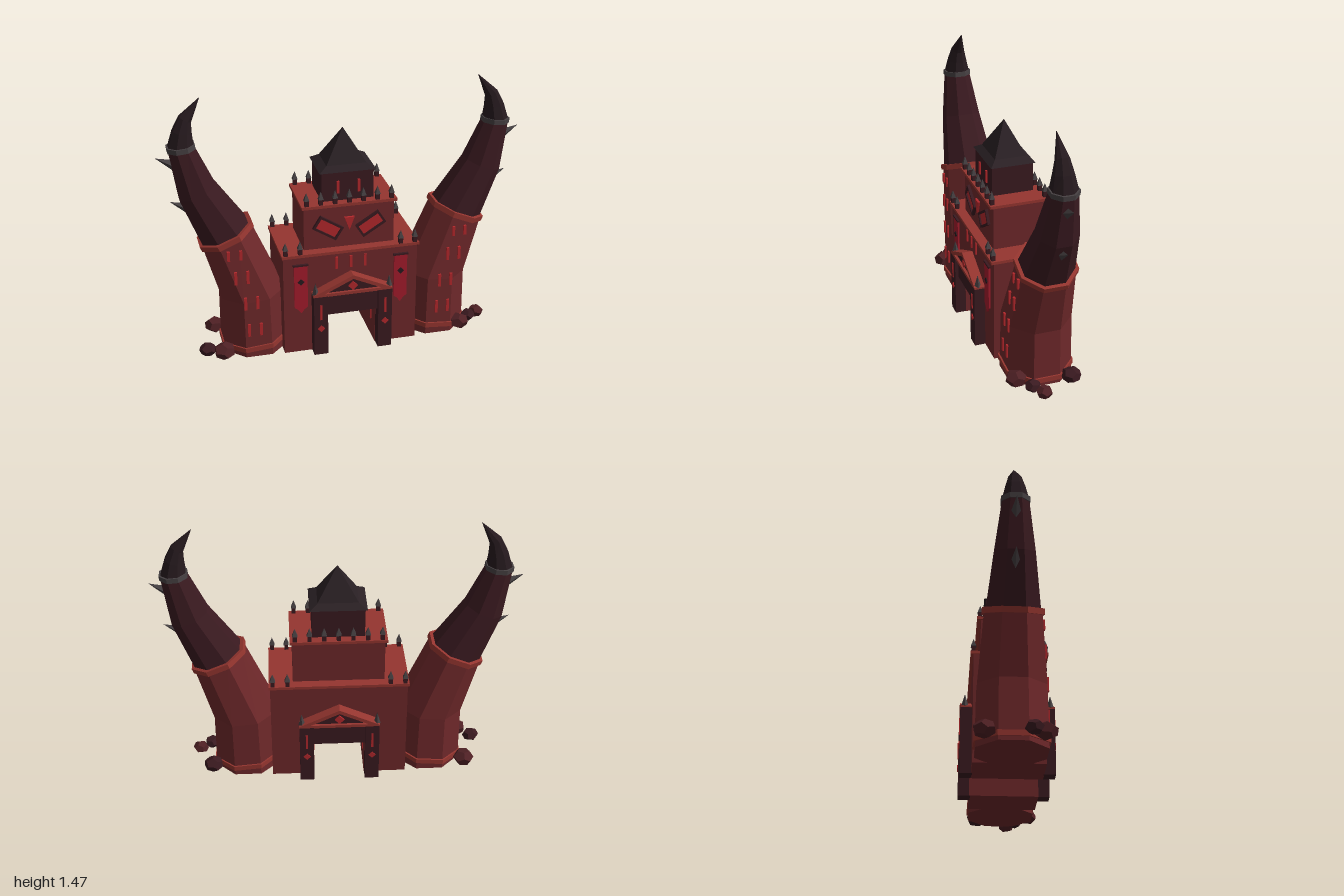
import * as THREE from 'three';

const mat = (color, side = THREE.FrontSide) =>
  new THREE.MeshStandardMaterial({ color, flatShading: true, side });
const M = {
  wall: mat(0x6e282a), trim: mat(0x95352f), dark: mat(0x3a1a20), glow: mat(0xb4282c),
  banner: mat(0xa41c2c), tip: mat(0x261a1e), metal: mat(0x464042), roof: mat(0x2a2024),
  rock: mat(0x4e2024),
};

export function createModel() {
  const root = new THREE.Group();
  const add = (name, geo, material, x = 0, y = 0, z = 0, parent = root) => {
    const m = new THREE.Mesh(geo, material);
    m.name = name;
    m.position.set(x, y, z);
    parent.add(m);
    return m;
  };
  const box = (name, w, h, d, material, x, y, z, parent) =>
    add(name, new THREE.BoxGeometry(w, h, d), material, x, y, z, parent);
  const outline = pts => new THREE.Shape(pts.map(p => new THREE.Vector2(...p)));
  const slab = (name, shape, depth, material, x, y, z, parent) =>
    add(name, new THREE.ExtrudeGeometry(shape, { depth, bevelEnabled: false }), material, x, y, z, parent);
  const diamond = r => outline([[0, -r], [r, 0], [0, r], [-r, 0]]);

  // Eight-sided tube through tilted rings [x, y, apothem, tilt in degrees]
  const loft = rings => {
    const pos = [];
    const pts = rings.map(([x, y, r, tilt]) => {
      const t = THREE.MathUtils.degToRad(tilt), R = r / Math.cos(Math.PI / 8);
      return Array.from({ length: 8 }, (_, k) => {
        const a = (k + 0.5) * Math.PI / 4, lx = R * Math.cos(a);
        return [x + lx * Math.cos(t), y - lx * Math.sin(t), R * Math.sin(a)];
      });
    });
    const tri = (a, b, c) => pos.push(...a, ...b, ...c);
    const last = pts.length - 1;
    for (let k = 0; k < 8; k++) {
      const n = (k + 1) % 8;
      for (let i = 0; i < last; i++) {
        tri(pts[i][k], pts[i + 1][k], pts[i][n]);
        tri(pts[i][n], pts[i + 1][k], pts[i + 1][n]);
      }
      tri(rings[0].slice(0, 2).concat(0), pts[0][k], pts[0][n]);
      tri(rings[last].slice(0, 2).concat(0), pts[last][n], pts[last][k]);
    }
    const g = new THREE.BufferGeometry();
    g.setAttribute('position', new THREE.Float32BufferAttribute(pos, 3));
    g.computeVertexNormals();
    return g;
  };

  // Merlon: small post with a pointed head
  const merlon = (x, y, z) => {
    const g = new THREE.Group();
    g.name = 'merlon';
    g.position.set(x, y, z);
    box('merlonPost', 0.022, 0.035, 0.022, M.dark, 0, 0.0175, 0, g);
    add('merlonPoint', new THREE.ConeGeometry(0.02, 0.045, 4).rotateY(Math.PI / 4), M.metal, 0, 0.055, 0, g);
    root.add(g);
  };

  // Main block with gate passage
  slab('gatehouse', outline([[-0.375, 0], [-0.14, 0], [-0.14, 0.235], [0.14, 0.235], [0.14, 0],
    [0.375, 0], [0.375, 0.59], [-0.375, 0.59]]), 0.37, M.wall, 0, 0, -0.185);
  box('gatehouseCornice', 0.765, 0.016, 0.4, M.trim, 0, 0.597, 0);
  box('upperBlock', 0.5, 0.25, 0.29, M.wall, 0, 0.727, 0);
  box('upperCornice', 0.525, 0.016, 0.33, M.trim, 0, 0.858, 0);
  box('keep', 0.285, 0.17, 0.23, M.dark, 0, 0.95, 0);

  // Flared four-sided roof, squeezed to the keep's footprint
  const roof = new THREE.LatheGeometry(
    [[0, 1.03], [0.155, 1.03], [0.11, 1.058], [0, 1.237]].map(([r, y]) => new THREE.Vector2(r * Math.SQRT2, y)), 4)
    .rotateY(Math.PI / 4).scale(1, 1, 0.8);
  add('keepRoof', roof, M.roof);

  for (const z of [-1, 1]) {
    for (let i = -3; i <= 3; i++) merlon(i * 0.078, 0.866, z * 0.148);
    for (const x of [-0.36, -0.28, 0.28, 0.36]) merlon(x, 0.605, z * 0.185);
  }

  // Gate portals, front and back
  for (const turn of [0, Math.PI]) {
    const gate = new THREE.Group();
    gate.name = turn ? 'backGate' : 'frontGate';
    gate.rotation.y = turn;
    root.add(gate);
    box('lintel', 0.3, 0.125, 0.045, M.dark, 0, 0.2975, 0.2025, gate);
    for (const s of [-1, 1]) {
      box('gatePillar', 0.078, 0.36, 0.065, M.dark, s * 0.181, 0.18, 0.2125, gate);
      box('pillarSlit', 0.012, 0.09, 0.01, M.glow, s * 0.181, 0.265, 0.245, gate);
      slab('pillarGem', diamond(0.02), 0.007, M.glow, s * 0.181, 0.165, 0.243, gate);
      add('gateSpike', new THREE.ConeGeometry(0.02, 0.07, 4), M.metal, s * 0.207, 0.402, 0.222, gate);
    }
    slab('pediment', outline([[-0.2, 0.362], [0.2, 0.362], [0, 0.455]]), 0.045, M.dark, 0, 0, 0.185, gate);
    const frame = outline([[-0.222, 0.358], [0.222, 0.358], [0.222, 0.368], [0, 0.472], [-0.222, 0.368]]);
    frame.holes.push(new THREE.Path([[-0.16, 0.375], [0, 0.449], [0.16, 0.375]].map(p => new THREE.Vector2(...p))));
    slab('pedimentFrame', frame, 0.06, M.trim, 0, 0, 0.185, gate);
    slab('pedimentGem', diamond(0.026), 0.012, M.glow, 0, 0.405, 0.228, gate);
  }

  // Slits over the gate, on the keep and along the passage
  for (const x of [-0.08, 0, 0.08]) {
    box('wallSlit', 0.014, 0.07, 0.014, M.glow, x, 0.53, 0.186);
    for (const s of [-1, 1]) box('passageSlit', 0.01, 0.07, 0.014, M.glow, s * 0.14, 0.14, x * 1.3);
  }
  for (const x of [-0.055, 0.06]) box('keepSlit', 0.014, 0.07, 0.014, M.glow, x, 0.945, 0.117);

  // Face: slanted eyes and triangular nose
  for (const s of [-1, 1]) {
    const eye = new THREE.Group();
    eye.name = 'eye';
    eye.position.set(s * 0.118, 0.727, 0.147);
    eye.rotation.z = s * 0.56;
    root.add(eye);
    const rim = outline([[-0.075, -0.042], [0.075, -0.042], [0.075, 0.042], [-0.075, 0.042]]);
    rim.holes.push(new THREE.Path([[-0.063, -0.03], [-0.063, 0.03], [0.063, 0.03], [0.063, -0.03]]
      .map(p => new THREE.Vector2(...p))));
    slab('eyeRim', rim, 0.018, M.dark, 0, 0, -0.004, eye);
    box('eyeGlow', 0.128, 0.062, 0.012, M.glow, 0, 0, 0, eye);

    // Banner with pointed hem
    slab('banner', outline([[-0.037, 0.285], [-0.018, 0.27], [0, 0.245], [0.018, 0.27], [0.037, 0.285],
      [0.037, 0.54], [-0.037, 0.54]]), 0.01, M.banner, s * 0.28, 0, 0.185);
    box('bannerRod', 0.084, 0.01, 0.016, M.dark, s * 0.28, 0.54, 0.19);
    slab('bannerGem', diamond(0.019), 0.004, M.tip, s * 0.28, 0.44, 0.195);
  }
  slab('nose', outline([[0, 0.705], [0.028, 0.78], [-0.028, 0.78]]), 0.014, M.glow, 0, 0, 0.144);

  // Horned side towers; the right one is the left one turned half round
  for (const s of [1, -1]) {
    const tower = new THREE.Group();
    tower.name = s > 0 ? 'leftTower' : 'rightTower';
    tower.rotation.y = s > 0 ? 0 : Math.PI;
    root.add(tower);
    const part = (name, rings, material) => add(name, loft(rings), material, 0, 0, 0, tower);
    part('towerBody', [[0.515, 0, 0.178, 0], [0.52, 0.34, 0.172, 5], [0.652, 0.7, 0.142, 22.7]], M.wall);
    part('towerBaseBand', [[0.515, 0.038, 0.186, 5], [0.515, 0.066, 0.186, 5]], M.trim);
    part('towerTopBand', [[0.645, 0.682, 0.154, 22.7], [0.656, 0.71, 0.154, 22.7]], M.trim);
    part('horn', [[0.652, 0.7, 0.136, 22.7], [0.79, 0.957, 0.102, 21.5], [0.858, 1.2, 0.068, 6]], M.dark);
    part('hornBand', [[0.858, 1.193, 0.073, 5], [0.861, 1.22, 0.073, 5]], M.metal);
    part('hornTip', [[0.86, 1.21, 0.067, 4], [0.848, 1.29, 0.05, -12], [0.829, 1.358, 0.034, -30],
      [0.75, 1.467, 0.001, -40]], M.tip);

    // Outward spikes on the horn
    for (const [x, y] of [[0.945, 1.133], [0.885, 0.88]]) {
      const spike = add('hornSpike', new THREE.ConeGeometry(0.03, 0.11, 4), M.metal, x, y, 0, tower);
      spike.rotation.z = -1.12;
    }

    // Window slits on the front facet
    for (const [x, y, h, z] of [[0.535, 0.17, 0.075, 0.175], [0.549, 0.335, 0.075, 0.172],
      [0.595, 0.49, 0.075, 0.16], [0.627, 0.622, 0.055, 0.15]]) {
      for (const d of [-0.033, 0.033]) box('towerSlit', 0.016, h, 0.016, M.glow, s * (x + d), y, z);
    }

    // Rubble at the foot
    const rubble = s > 0
      ? [[0.645, 0.045, 0.155, 0.06], [0.725, 0.035, 0.09, 0.045], [0.79, 0.03, 0.05, 0.045], [0.71, 0.045, -0.13, 0.055]]
      : [[0.705, 0.045, 0.15, 0.062], [0.79, 0.03, 0.09, 0.048], [0.715, 0.045, -0.14, 0.06]];
    rubble.forEach(([x, y, z, r], i) => {
      const g = new THREE.DodecahedronGeometry(r, 0).rotateY(i * 1.3 + s).rotateX(i + 0.4).scale(1, 0.75, 1);
      add('rock', g, i % 2 ? M.dark : M.rock, s * x, y, z);
    });
  }
  return root;
}
